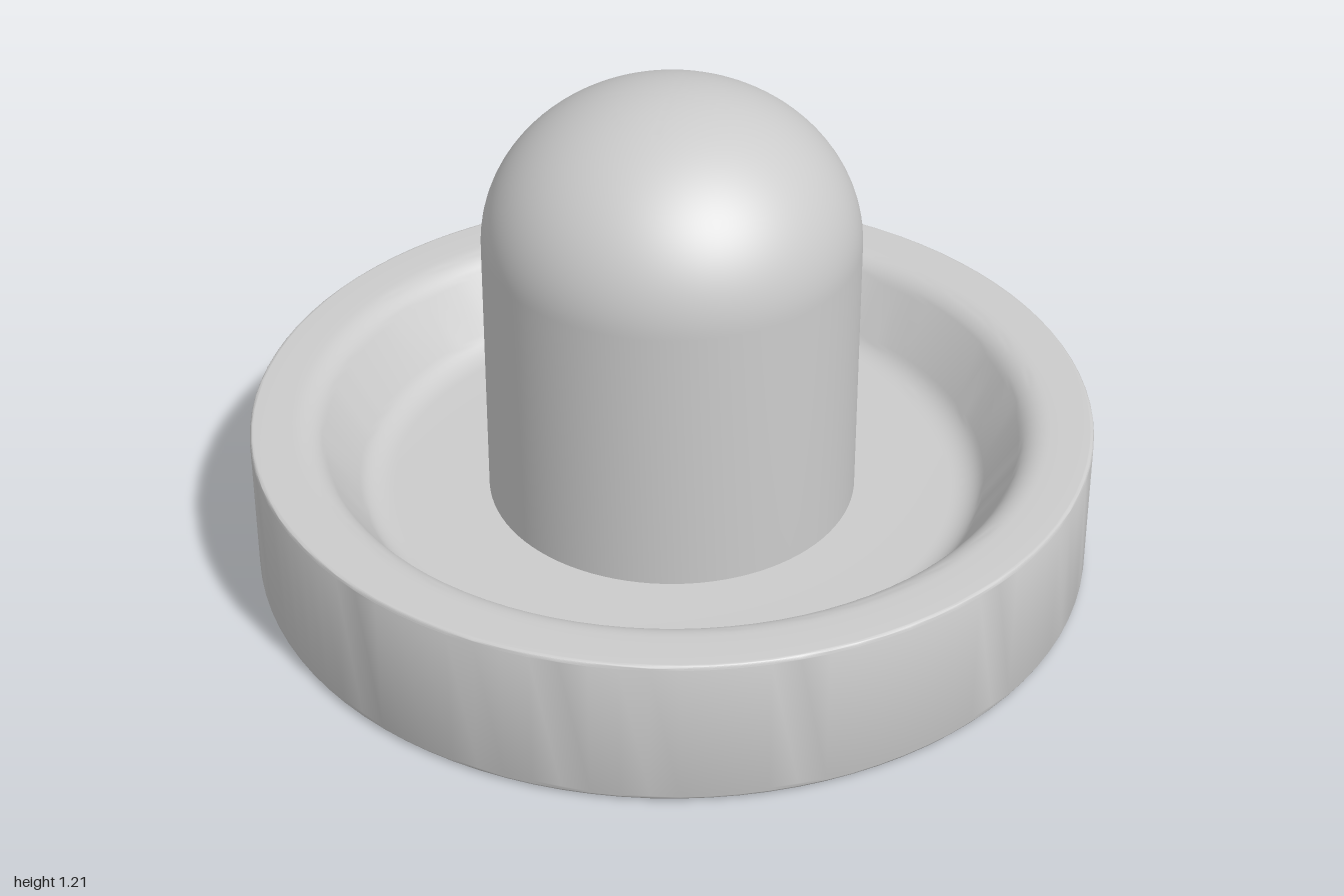
import * as THREE from 'three';
import { toCreasedNormals } from 'three/addons/utils/BufferGeometryUtils.js';

const material = new THREE.MeshStandardMaterial({ color: 0xcccccc, side: THREE.DoubleSide });

// Revolves a profile, keeping its sharp corners crisp
function turned(name, path, divisions) {
  const lathe = new THREE.LatheGeometry(path.getPoints(divisions), 96);
  const mesh = new THREE.Mesh(toCreasedNormals(lathe, 0.6), material);
  mesh.name = name;
  return mesh;
}

export function createModel() {
  const group = new THREE.Group();
  group.name = 'mallet';

  // Dish: recessed underside, outer wall, rounded lip and sloping basin
  const dish = new THREE.Path();
  dish.moveTo(0.34, 0.06);
  dish.lineTo(0.77, 0.06);
  dish.lineTo(0.77, 0.02);
  dish.quadraticCurveTo(0.77, 0, 0.79, 0);
  dish.lineTo(0.98, 0);
  dish.quadraticCurveTo(1, 0, 1, 0.02);
  dish.lineTo(1, 0.36);
  dish.quadraticCurveTo(1, 0.37, 0.99, 0.37);
  dish.lineTo(0.9, 0.37);
  dish.quadraticCurveTo(0.85, 0.37, 0.825, 0.33);
  dish.lineTo(0.75, 0.21);
  dish.quadraticCurveTo(0.725, 0.17, 0.67, 0.17);
  dish.lineTo(0.44, 0.17);
  group.add(turned('dish', dish, 8));

  // Knob: hollow domed grip, open underneath
  const bore = new THREE.Path();
  bore.absellipse(0, 0.83, 0.34, 0.27, Math.PI / 2, 0, true);
  bore.lineTo(0.34, 0.06);
  group.add(turned('knobBore', bore, 16));

  const knob = new THREE.Path();
  knob.moveTo(0.44, 0.17);
  knob.lineTo(0.44, 0.83);
  knob.absellipse(0, 0.83, 0.44, 0.375, 0, Math.PI / 2, false);
  group.add(turned('knob', knob, 16));

  return group;
}
